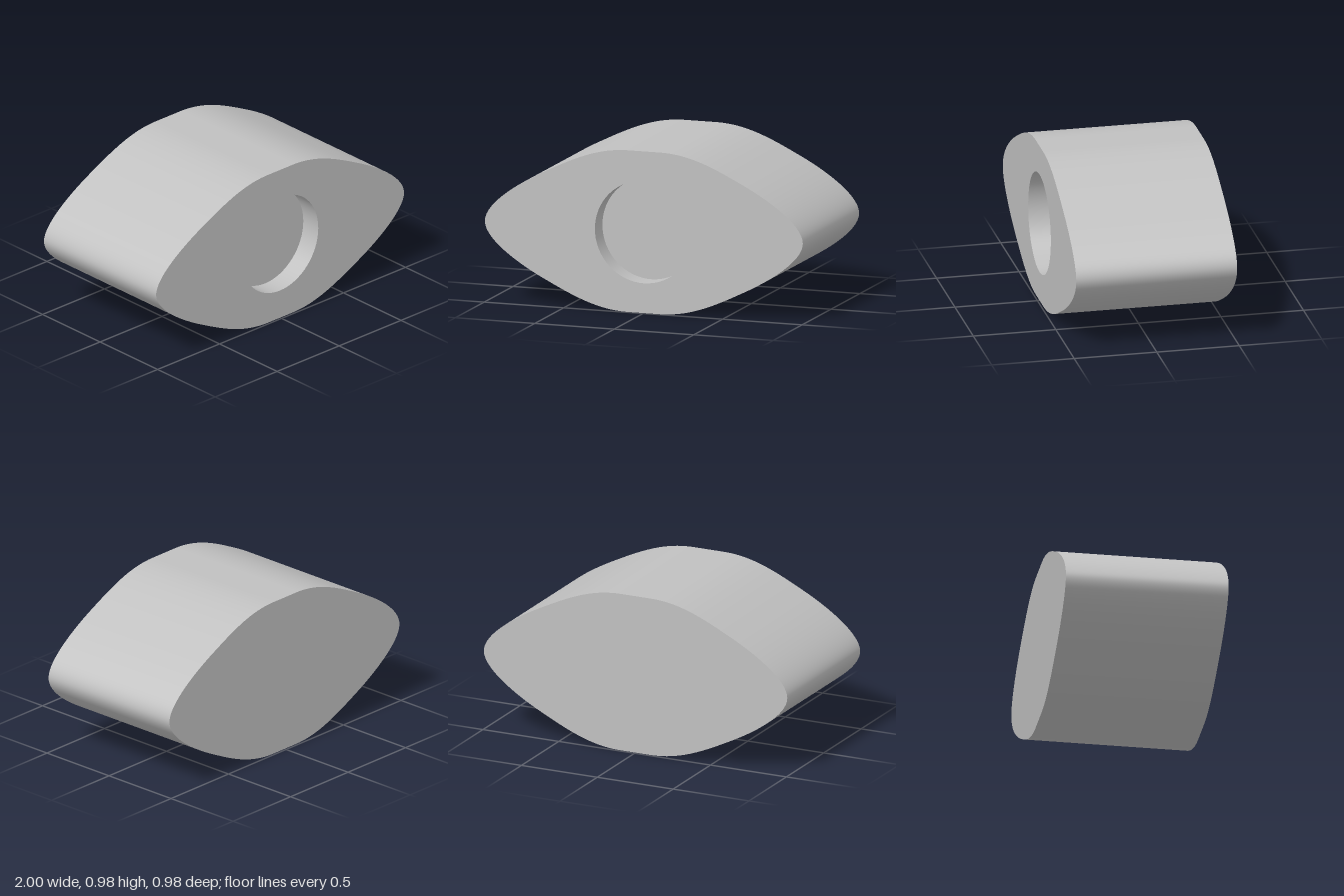
import * as THREE from 'three';

const HALF_H = 0.4875;   // half height of the lens outline
const HALF_D = 0.4875;   // half depth of the body
const HOLE_R = 0.308;
const HOLE_DEPTH = 0.13;

// Lens outline, counter-clockwise, from one quarter mirrored four times
function lensOutline() {
  const crown = new THREE.CubicBezierCurve(
    new THREE.Vector2(0.6, 0.336), new THREE.Vector2(0.43, 0.421),
    new THREE.Vector2(0.28, HALF_H), new THREE.Vector2(0.1, HALF_H));
  const tip = new THREE.CubicBezierCurve(
    new THREE.Vector2(1, 0), new THREE.Vector2(1, 0.105),
    new THREE.Vector2(0.8, 0.24), new THREE.Vector2(0.6, 0.336));
  const quarter = [...tip.getPoints(28), ...crown.getPoints(20).slice(1)];
  const flip = (pts, sx, sy) => pts.map(p => new THREE.Vector2(p.x * sx, p.y * sy));
  const upper = [...quarter, ...flip(quarter, -1, 1).reverse()];
  return [...upper, ...flip(upper, -1, -1).slice(1, -1)];
}

// Smooth closed band between the front and back outlines
function wallGeometry(outline) {
  const n = outline.length, pos = [], index = [];
  outline.forEach((p, i) => {
    pos.push(p.x, p.y, HALF_D, p.x, p.y, -HALF_D);
    const f = 2 * i, g = 2 * ((i + 1) % n);
    index.push(f, f + 1, g + 1, f, g + 1, g);
  });
  const geo = new THREE.BufferGeometry();
  geo.setAttribute('position', new THREE.Float32BufferAttribute(pos, 3));
  geo.setIndex(index);
  geo.computeVertexNormals();
  return geo;
}

export function createModel() {
  const group = new THREE.Group();
  group.name = 'lensBlock';
  const grey = new THREE.MeshStandardMaterial({ color: 0xc0c0c0 });
  grey.name = 'light grey';

  const add = (name, geo, z = 0) => {
    const mesh = new THREE.Mesh(geo, grey);
    mesh.name = name;
    mesh.position.set(0, HALF_H, z);
    group.add(mesh);
  };

  const outline = lensOutline();
  add('outerWall', wallGeometry(outline));

  // Front face with the round opening
  const front = new THREE.Shape(outline);
  front.holes.push(new THREE.Path().absarc(0, 0, HOLE_R, 0, Math.PI * 2, true));
  add('frontFace', new THREE.ShapeGeometry(front, 32), HALF_D);

  // Solid back face
  add('backFace', new THREE.ShapeGeometry(new THREE.Shape(outline)).rotateY(Math.PI), -HALF_D);

  // Shallow round recess: inward-facing wall and floor
  const recess = new THREE.LatheGeometry(
    [new THREE.Vector2(HOLE_R, 0), new THREE.Vector2(HOLE_R, -HOLE_DEPTH)], 64);
  add('recessWall', recess.rotateX(Math.PI / 2), HALF_D);
  add('recessFloor', new THREE.CircleGeometry(HOLE_R, 64), HALF_D - HOLE_DEPTH);

  return group;
}
